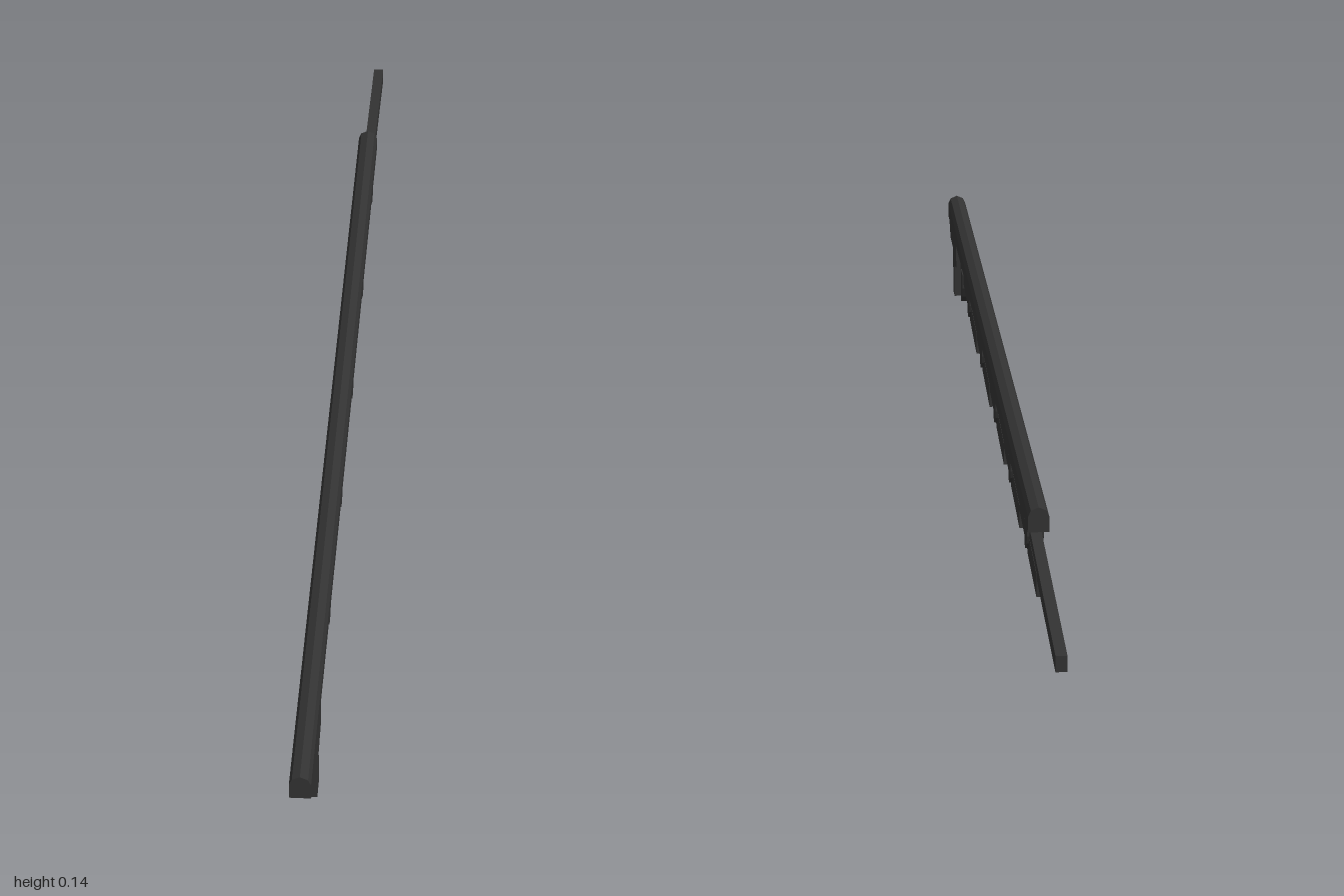
import * as THREE from 'three';

const material = new THREE.MeshStandardMaterial({ color: 0x333333, flatShading: true });
const SLOPE = 0.0875; // fall of every rod toward the back
const STEP = 0.282; // spacing of the repeated units

function add(group, name, geometry) {
  const mesh = new THREE.Mesh(geometry, material);
  mesh.name = name;
  group.add(mesh);
  return mesh;
}

// Side outline of [z, y] points, given a width across x
function sideProfile(points, width) {
  const shape = new THREE.Shape(points.map(([z, y]) => new THREE.Vector2(z, y)));
  const geometry = new THREE.ExtrudeGeometry(shape, { depth: width, bevelEnabled: false });
  return geometry.translate(0, 0, -width / 2).rotateY(-Math.PI / 2);
}

// Bar that slopes down toward -z, cut vertically at both ends
function slopedBar(zFront, zBack, yFront, height, width) {
  const yBack = yFront - (zFront - zBack) * SLOPE;
  const h = height / 2;
  return sideProfile([
    [zFront, yFront + h], [zBack, yBack + h], [zBack, yBack - h], [zFront, yFront - h],
  ], width);
}

export function createModel() {
  const model = new THREE.Group();
  model.name = 'longSteppedModel';

  // Long upper body with a faceted rounded top
  const section = new THREE.Shape([
    [-0.015, 0.103], [0.015, 0.103], [0.015, 0.126], [0.011, 0.135], [0, 0.14],
    [-0.011, 0.135], [-0.015, 0.126],
  ].map(([x, y]) => new THREE.Vector2(x, y)));
  const body = new THREE.ExtrudeGeometry(section, { depth: 1.655, bevelEnabled: false });
  add(model, 'upperBody', body.translate(0, 0, -0.655));

  // Housing with a sloped nose, tapering into the first rod
  add(model, 'frontHousing', sideProfile([
    [0.975, 0.104], [0.945, 0.078], [0.88, 0.078], [0.845, 0.054], [0.825, 0.06],
    [0.8, 0.065], [0.8, 0.104],
  ], 0.03));

  // Upright grip under the housing
  const grip = add(model, 'grip', new THREE.BoxGeometry(0.03, 0.082, 0.033));
  grip.position.set(0, 0.041, 0.862);

  // Stubby hook behind the grip, rounded at its lower back
  add(model, 'hook', sideProfile([
    [0.757, 0.075], [0.757, 0.06], [0.751, 0.05], [0.752, 0.018], [0.737, 0.023],
    [0.724, 0.035], [0.716, 0.052], [0.716, 0.075],
  ], 0.02));

  // Six overlapping rods, stepping back along the body
  for (let i = 0; i < 6; i++) {
    const z = 0.827 - i * STEP;
    const end = i === 5 ? -1 : z - 0.417;
    add(model, 'rod' + (i + 1), slopedBar(z, end, 0.043 + (z - end) * SLOPE, 0.023, 0.016));
  }

  // Five slim sleeves, each with a wider post up to the body
  for (let i = 0; i < 5; i++) {
    const unit = new THREE.Group();
    unit.name = 'sleeveUnit' + (i + 1);
    unit.position.z = 0.545 - i * STEP;
    add(unit, 'sleeve', slopedBar(0.01, -0.135, 0.06, 0.034, 0.017));
    add(unit, 'post', sideProfile([
      [0.018, 0.106], [0.018, 0.054], [0.006, 0.051], [-0.008, 0.056], [-0.017, 0.066],
      [-0.021, 0.078], [-0.02, 0.106],
    ], 0.024));
    model.add(unit);
  }

  return model;
}
